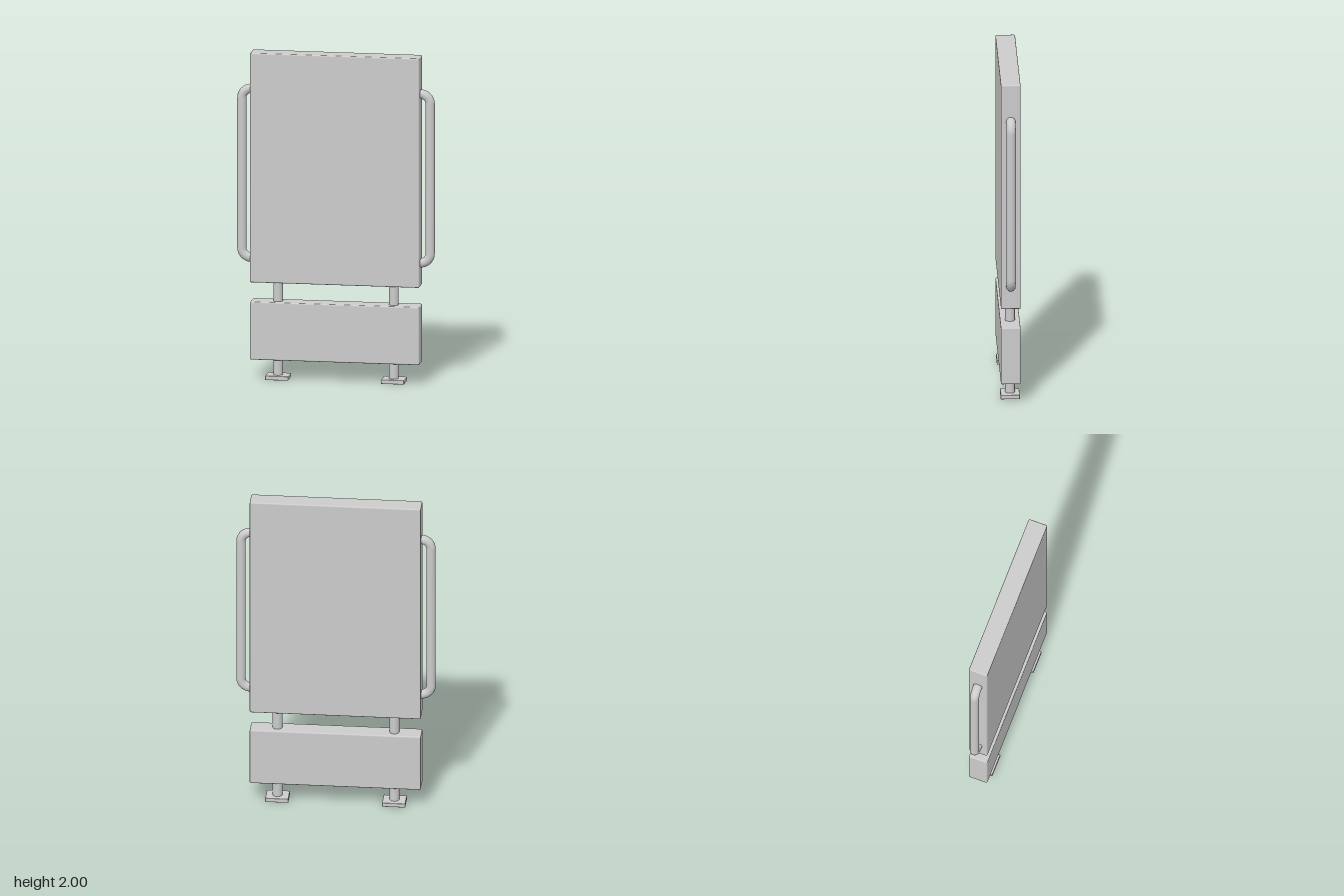
import * as THREE from 'three';
import { RoundedBoxGeometry } from 'three/addons/geometries/RoundedBoxGeometry.js';

const material = new THREE.MeshStandardMaterial({ color: 0xcccccc });

function addMesh(parent, name, geometry, x = 0, y = 0, z = 0) {
  const mesh = new THREE.Mesh(geometry, material);
  mesh.name = name;
  mesh.position.set(x, y, z);
  parent.add(mesh);
  return mesh;
}

// Box with softened edges, placed by its bottom and top heights
function addSlab(parent, name, width, bottom, top, depth, bevel, x = 0) {
  const geometry = new RoundedBoxGeometry(width, top - bottom, depth, 2, bevel);
  return addMesh(parent, name, geometry, x, (bottom + top) / 2);
}

// Bracket-shaped rail on the +x side: two short arms joined by rounded corners
function handleGeometry(side) {
  const inner = 0.5, outer = 0.572, low = 0.738, high = 1.772, r = 0.058;
  const v = (x, y) => new THREE.Vector3(side * x, y, 0);
  const k = r * 0.448; // control distance from the corner for a circular bend
  const path = new THREE.CurvePath();
  path.add(new THREE.LineCurve3(v(inner, low), v(outer - r, low)));
  path.add(new THREE.CubicBezierCurve3(
    v(outer - r, low), v(outer - k, low), v(outer, low + k), v(outer, low + r)));
  path.add(new THREE.LineCurve3(v(outer, low + r), v(outer, high - r)));
  path.add(new THREE.CubicBezierCurve3(
    v(outer, high - r), v(outer, high - k), v(outer - k, high), v(outer - r, high)));
  path.add(new THREE.LineCurve3(v(outer - r, high), v(inner, high)));
  return new THREE.TubeGeometry(path, 160, 0.028, 20, false);
}

export function createModel() {
  const model = new THREE.Group();
  model.name = 'standingBoard';

  // Main board and lower board
  addSlab(model, 'mainPanel', 1.03, 0.595, 2, 0.118, 0.008);
  addSlab(model, 'lowerPanel', 1.03, 0.122, 0.477, 0.118, 0.008);

  for (const [side, label] of [[1, 'left'], [-1, 'right']]) {
    const x = side * 0.352;

    // Post running up through the lower board into the main board
    addMesh(model, label + 'Post', new THREE.CylinderGeometry(0.029, 0.029, 0.62, 24), x, 0.32);

    // Foot plate
    addSlab(model, label + 'Foot', 0.14, 0, 0.026, 0.115, 0.004, x);

    // Side rail
    addMesh(model, label + 'Handle', handleGeometry(side));
  }

  return model;
}
